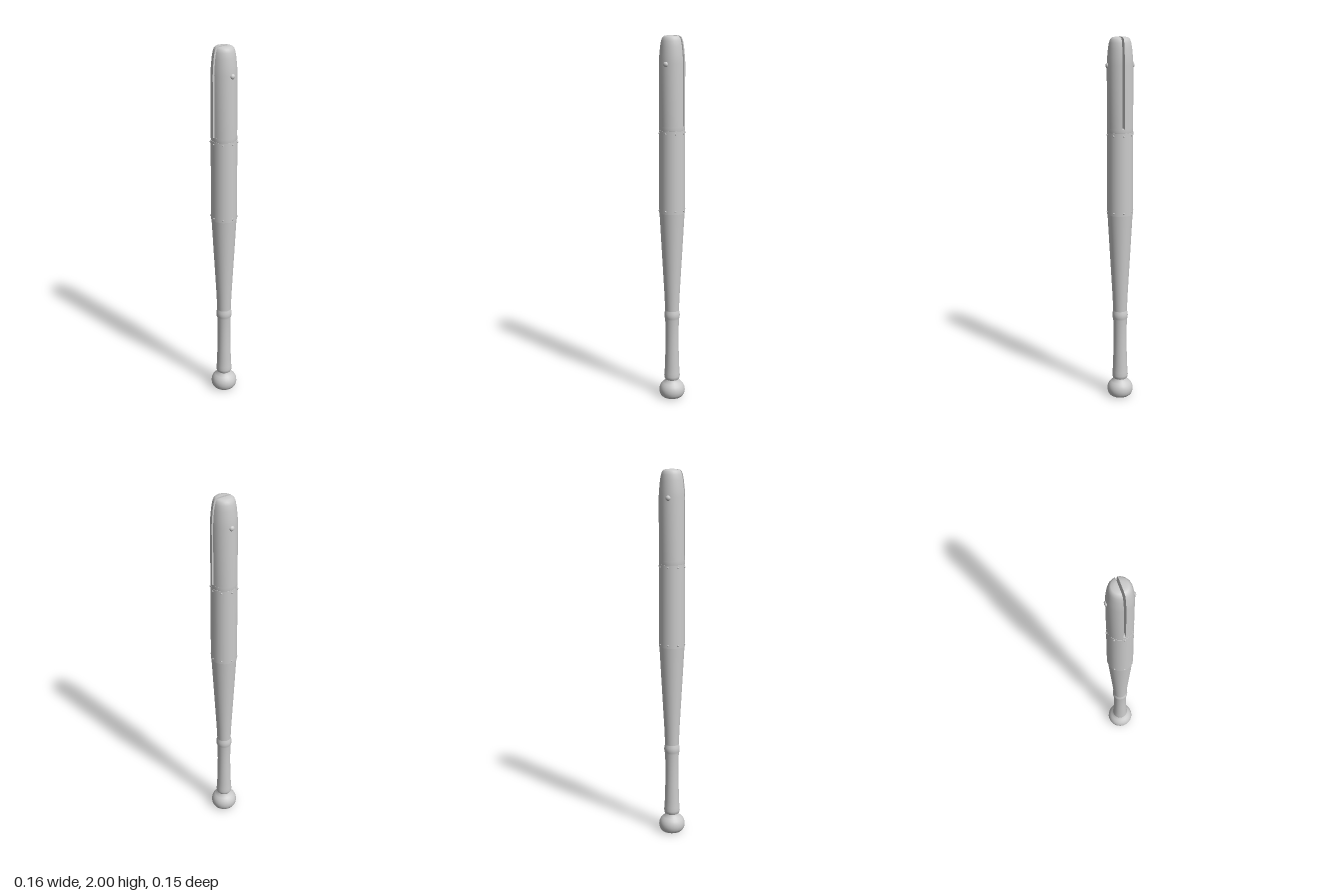
import * as THREE from 'three';

const SIDES = 24;
const GAP = 0.006; // half width of the slot
const SLOT_Y = 1.53;

const grey = new THREE.MeshStandardMaterial({ color: 0xcccccc });
const vectors = (list) => list.map(([r, y]) => new THREE.Vector2(r, y));

function add(parent, name, geometry) {
  const mesh = new THREE.Mesh(geometry, grey);
  mesh.name = name;
  parent.add(mesh);
  return mesh;
}

const turned = (list) => new THREE.LatheGeometry(vectors(list), SIDES);

// Half of the slotted tip: a half lathe whose arc stops at the slot wall
function makeTipHalf(name) {
  const half = new THREE.Group();
  half.name = name;
  const profile = [[0.069, SLOT_Y], [0.069, 1.86], [0.0665, 1.9], [0.062, 1.945], [0.057, 1.973],
    [0.051, 1.989], [0.042, 1.997], [0.025, 2], [GAP, 2]];
  const shell = new THREE.LatheGeometry(vectors(profile), SIDES / 2, 0, Math.PI);
  const p = shell.attributes.position;
  for (let i = 0; i < p.count; i++) {
    const r = profile[i % profile.length][0];
    const t = Math.floor(i / profile.length) / (SIDES / 2);
    const a = Math.asin(Math.min(1, GAP / r));
    const phi = a + (Math.PI - 2 * a) * t;
    p.setX(i, r * Math.sin(phi));
    p.setZ(i, r * Math.cos(phi));
  }
  shell.computeVertexNormals();
  add(half, 'tipShell', shell);

  // Flat wall of the slot
  const edge = profile.map(([r, y]) => [Math.sqrt(Math.max(0, r * r - GAP * GAP)), y]);
  const outline = [...edge, ...edge.slice(0, -1).reverse().map(([z, y]) => [-z, y])];
  const wall = new THREE.ShapeGeometry(new THREE.Shape(vectors(outline)));
  wall.rotateY(-Math.PI / 2).translate(GAP, 0, 0);
  add(half, 'slotWall', wall);

  // Domed bolt head on the outside
  const head = new THREE.SphereGeometry(0.014, 14, 6, 0, Math.PI * 2, 0, Math.PI / 2);
  head.scale(1, 0.8, 1).rotateZ(-Math.PI / 2).translate(0.067, 1.855, 0);
  add(half, 'boltHead', head);
  return half;
}

export function createModel() {
  const bat = new THREE.Group();
  bat.name = 'bat';

  // Knob with a hollow underside
  add(bat, 'knobRecess', turned([[0, 0.03], [0.03, 0.027], [0.042, 0.015], [0.047, 0.002]]));
  add(bat, 'knob', turned([[0.047, 0.002], [0.052, 0], [0.062, 0.008], [0.069, 0.021], [0.072, 0.038],
    [0.07, 0.055], [0.063, 0.071], [0.052, 0.083], [0.042, 0.092], [0.037, 0.103]]));

  // Grip with a swelling at each end
  add(bat, 'grip', turned([[0.037, 0.103], [0.042, 0.112], [0.044, 0.123], [0.042, 0.143], [0.04, 0.18],
    [0.037, 0.28], [0.036, 0.36], [0.038, 0.455], [0.042, 0.467], [0.043, 0.48], [0.042, 0.493], [0.038, 0.508]]));

  // Tapering shaft
  add(bat, 'taper', turned([[0.038, 0.508], [0.042, 0.6], [0.051, 0.76], [0.06, 0.92], [0.066, 1.03], [0.068, 1.062]]));

  // Riveted sleeve, with small lips at its ends
  add(bat, 'sleeve', turned([[0.0705, 1.062], [0.0695, 1.508]]));
  for (const [y, r, flip] of [[1.062, 0.0705, 1], [1.508, 0.0695, -1]]) {
    const lip = new THREE.RingGeometry(0.06, r, SIDES, 1);
    lip.rotateX(flip * Math.PI / 2).translate(0, y, 0);
    add(bat, 'sleeveLip', lip);
  }
  for (const y of [1.077, 1.494]) {
    for (let i = 0; i < 8; i++) {
      const angle = i * Math.PI / 4;
      const rivet = add(bat, 'rivet', new THREE.SphereGeometry(0.005, 8, 6));
      rivet.position.set(0.07 * Math.sin(angle), y, 0.07 * Math.cos(angle));
    }
  }

  // Barrel below the slot, closed by the slot floor
  add(bat, 'barrel', turned([[0.067, 1.505], [0.069, 1.512], [0.069, SLOT_Y]]));
  const floor = new THREE.CircleGeometry(0.069, SIDES);
  floor.rotateX(-Math.PI / 2).translate(0, SLOT_Y, 0);
  add(bat, 'slotFloor', floor);

  // Two tip halves and the pin joining them
  const left = makeTipHalf('leftTip');
  const right = makeTipHalf('rightTip');
  right.rotation.y = Math.PI;
  bat.add(left, right);
  const pin = new THREE.CylinderGeometry(0.008, 0.008, 0.13, 12);
  pin.rotateZ(Math.PI / 2).translate(0, 1.855, 0);
  add(bat, 'pin', pin);

  return bat;
}
